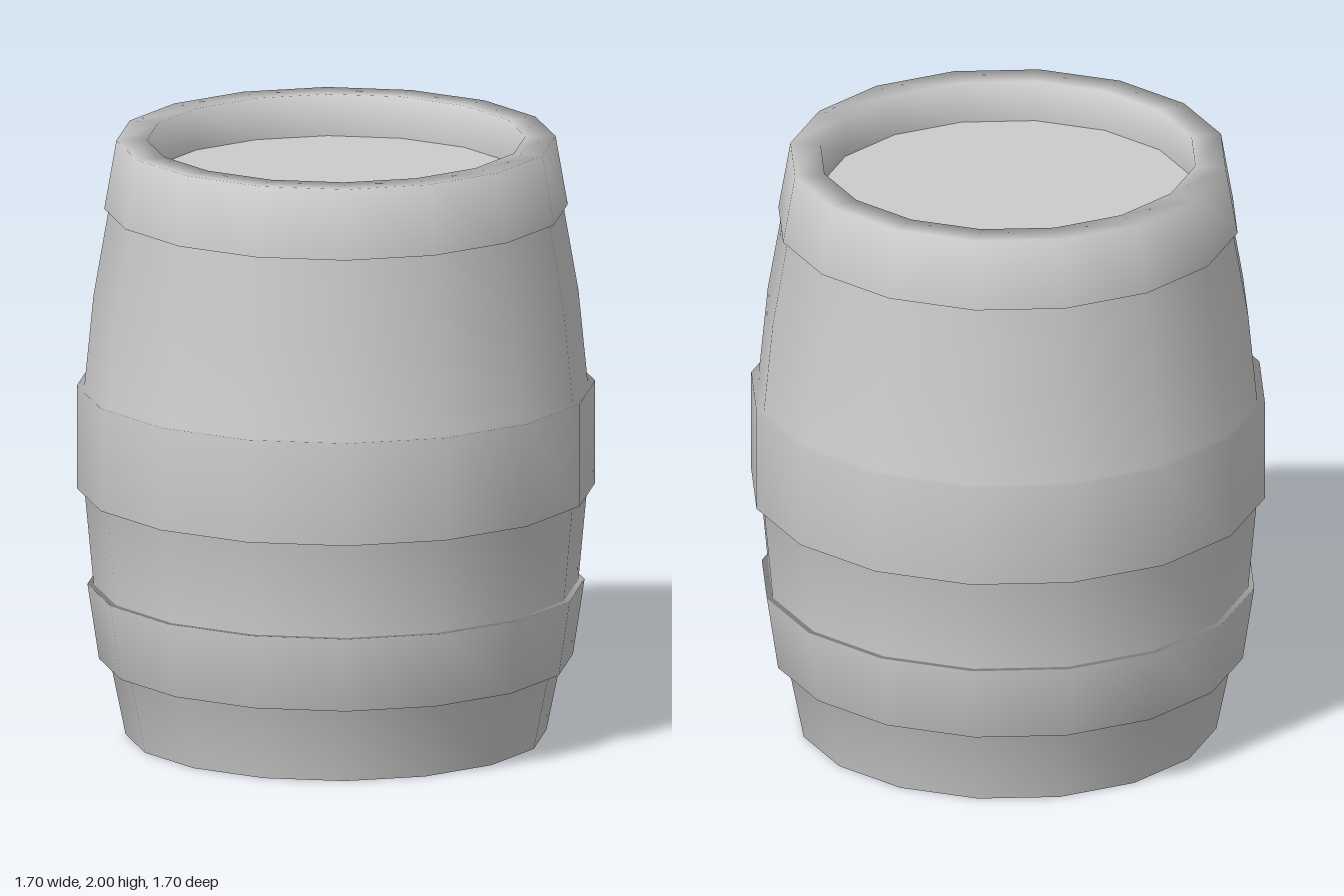
import * as THREE from 'three';

const SIDES = 16;

export function createModel() {
  const group = new THREE.Group();
  group.name = 'barrel';
  const material = new THREE.MeshStandardMaterial({ color: 0xcccccc, side: THREE.DoubleSide });

  // Turn a [radius, height] profile around the y axis
  const turn = (name, profile) => {
    const points = profile.map(([r, y]) => new THREE.Vector2(r, y));
    const mesh = new THREE.Mesh(new THREE.LatheGeometry(points, SIDES), material);
    mesh.name = name;
    group.add(mesh);
  };

  // Thin stave wall, open at the bottom, with the hoops stepped into it
  turn('staveWallWithHoops', [
    [0.69, 0], [0.742, 0.255],
    [0.777, 0.255], [0.815, 0.507], // lower hoop
    [0.795, 0.507], [0.825, 0.83],
    [0.85, 0.83], [0.85, 1.175], // middle hoop
    [0.825, 1.175], [0.795, 1.48], [0.745, 1.77],
    [0.76, 1.77], [0.72, 2], // top hoop
    [0.62, 2], [0.62, 1.86], // rim and its inner wall
  ]);

  // Lid set down inside the rim
  turn('lid', [[0.62, 1.86], [0, 1.86]]);

  return group;
}
